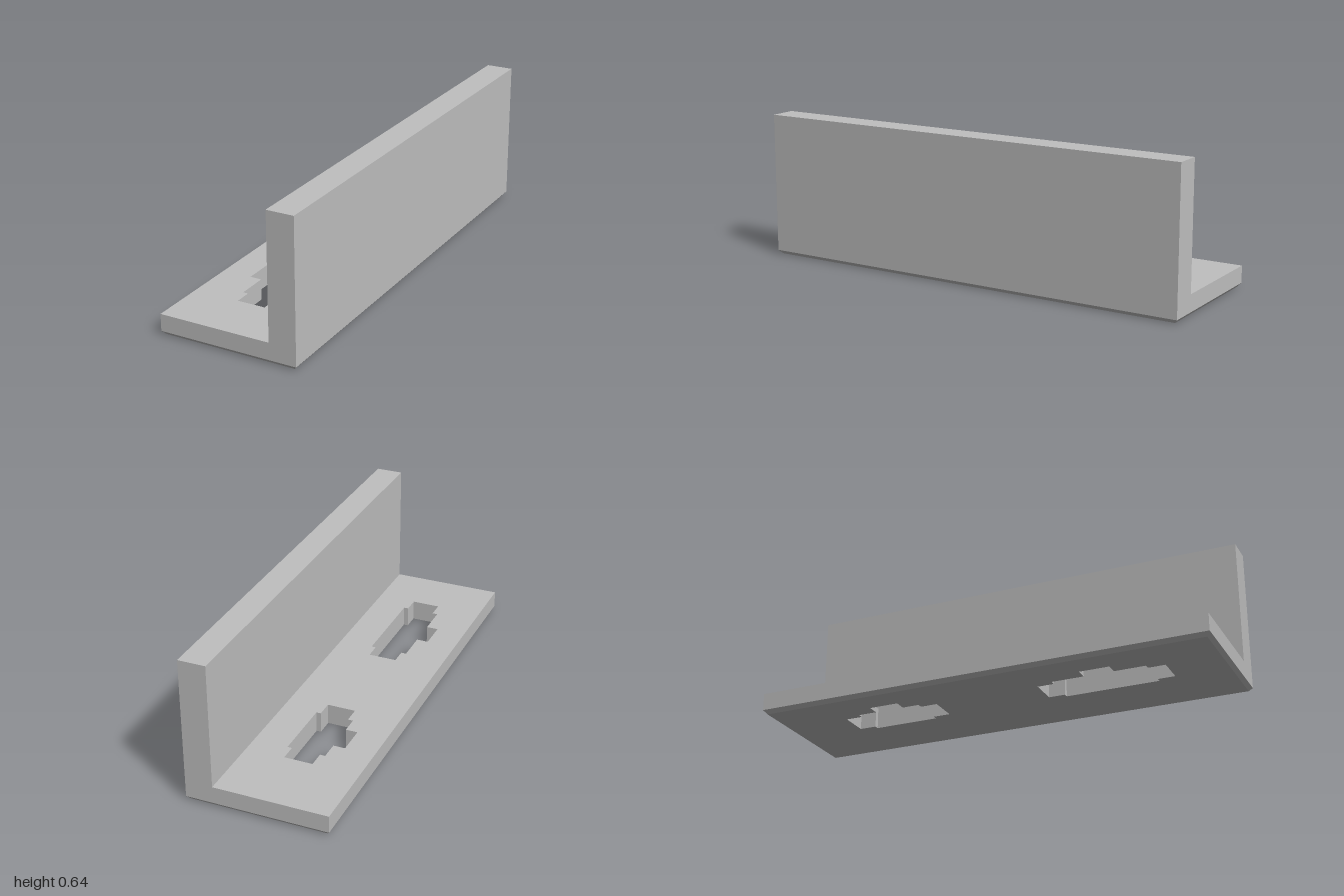
import * as THREE from 'three';

const W = 0.31, L = 1;           // half width and half length
const PLATE = 0.092, TOP = 0.64; // plate thickness and overall height
const WALL = 0.12;               // wall thickness
const BEVEL_Y = 0.017, BEVEL_IN = 0.015;

// Stepped slot outline; z values run from the end step to the side tab and back
function slot(z0, z1, z2, z3, z4, z5) {
  const points = [
    [-0.105, z0], [0.02, z0], [0.02, z1], [0.04, z1], [0.04, z4], [0.02, z4],
    [0.02, z5], [-0.105, z5], [-0.105, z4], [-0.128, z4], [-0.128, z3],
    [-0.18, z3], [-0.18, z2], [-0.128, z2], [-0.128, z1], [-0.105, z1],
  ];
  return new THREE.Path(points.map(([x, z]) => new THREE.Vector2(x, -z)));
}

// Flat plate with two slots and a chamfered lower rim
function plateGeometry() {
  const shape = new THREE.Shape([
    new THREE.Vector2(-W, -L), new THREE.Vector2(W, -L),
    new THREE.Vector2(W, L), new THREE.Vector2(-W, L),
  ]);
  shape.holes.push(
    slot(-0.7, -0.627, -0.545, -0.415, -0.34, -0.265),
    slot(0.2, 0.272, 0.413, 0.543, 0.68, 0.755),
  );
  const geo = new THREE.ExtrudeGeometry(shape, { depth: PLATE, steps: 2, bevelEnabled: false });
  geo.rotateX(-Math.PI / 2);

  // Lower the middle ring to the chamfer line and draw in the bottom corners
  const p = geo.attributes.position;
  for (let i = 0; i < p.count; i++) {
    const x = p.getX(i), y = p.getY(i), z = p.getZ(i);
    if (y > PLATE * 0.25 && y < PLATE * 0.75) p.setY(i, BEVEL_Y);
    if (y < PLATE * 0.25 && Math.abs(x) > W - 0.001) {
      p.setX(i, x - Math.sign(x) * BEVEL_IN);
      p.setZ(i, z - Math.sign(z) * BEVEL_IN);
    }
  }
  geo.computeVertexNormals();
  return geo;
}

export function createModel() {
  const model = new THREE.Group();
  model.name = 'angleBracket';
  const grey = new THREE.MeshStandardMaterial({ color: 0xbfbfbf });
  grey.name = 'grey';

  const plate = new THREE.Mesh(plateGeometry(), grey);
  plate.name = 'slottedBasePlate';

  // Upright flange along the left edge
  const wall = new THREE.Mesh(new THREE.BoxGeometry(WALL, TOP - PLATE, 2 * L), grey);
  wall.name = 'uprightWall';
  wall.position.set(W - WALL / 2, (TOP + PLATE) / 2, 0);

  model.add(plate, wall);
  return model;
}
